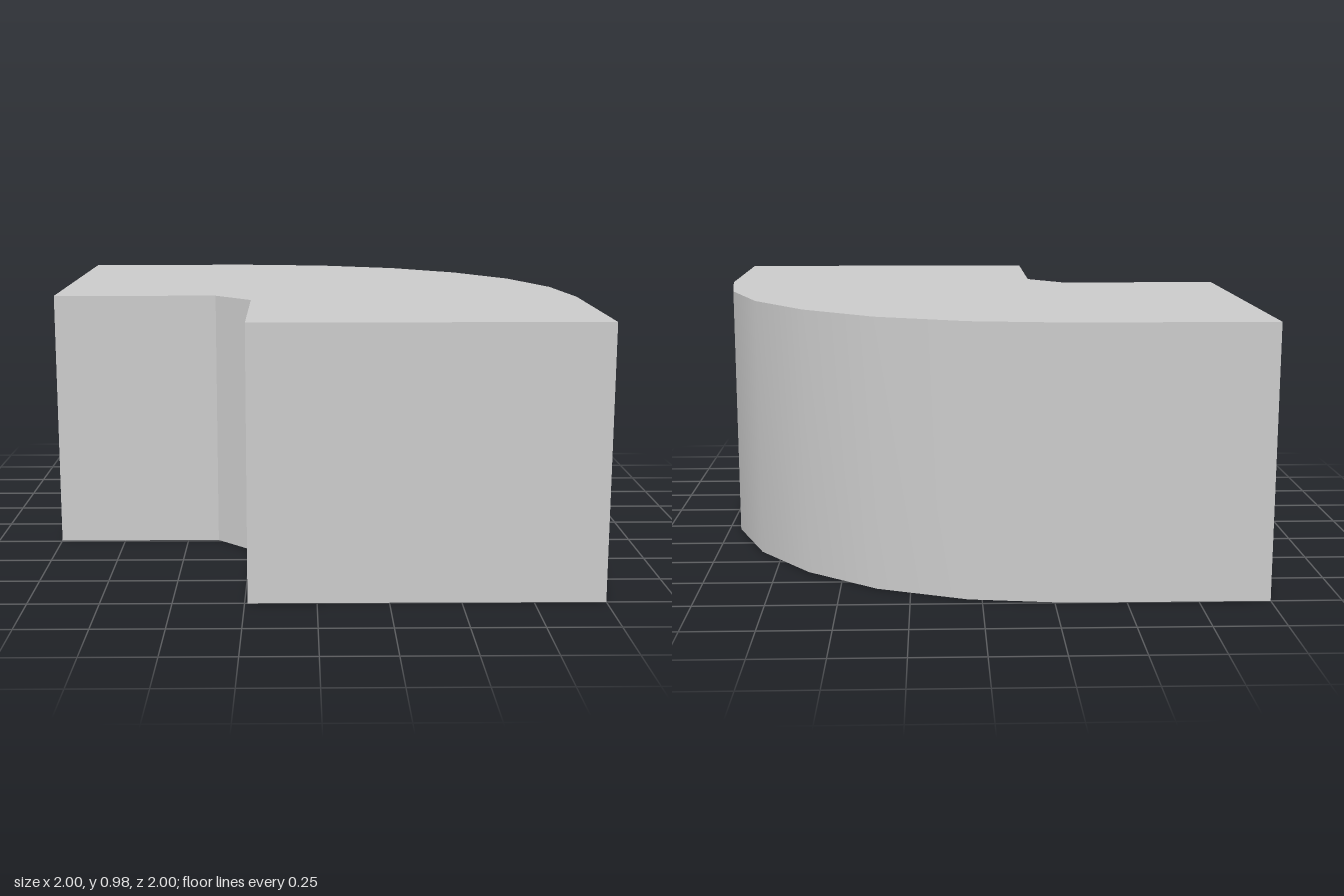
import * as THREE from 'three';
import { toCreasedNormals } from 'three/addons/utils/BufferGeometryUtils.js';

const HEIGHT = 0.975;

export function createModel() {
  const group = new THREE.Group();
  group.name = 'cornerBlock';

  // Half of the plan, from the inner chamfer round to the middle of the outer curve
  const half = [
    [-0.38, -0.24], [-1, -0.24], [-1, 1], [-0.29, 1],
    [0.05, 0.955], [0.37, 0.83], [0.63, 0.63],
  ];
  // The other arm is the same half mirrored across the diagonal
  const mirrored = half.slice(0, -1).reverse().map(([x, y]) => [y, x]);
  const outline = [...half, ...mirrored].map(([x, y]) => new THREE.Vector2(x, y));

  // Extrude upwards; the outer curve is smooth, all other edges are sharp
  const geometry = new THREE.ExtrudeGeometry(new THREE.Shape(outline), {
    depth: HEIGHT,
    bevelEnabled: false,
  });
  geometry.rotateX(-Math.PI / 2);

  const bend = new THREE.Mesh(
    toCreasedNormals(geometry, 0.6),
    new THREE.MeshStandardMaterial({ color: 0xcccccc }),
  );
  bend.name = 'curvedCornerBend';
  group.add(bend);
  return group;
}
